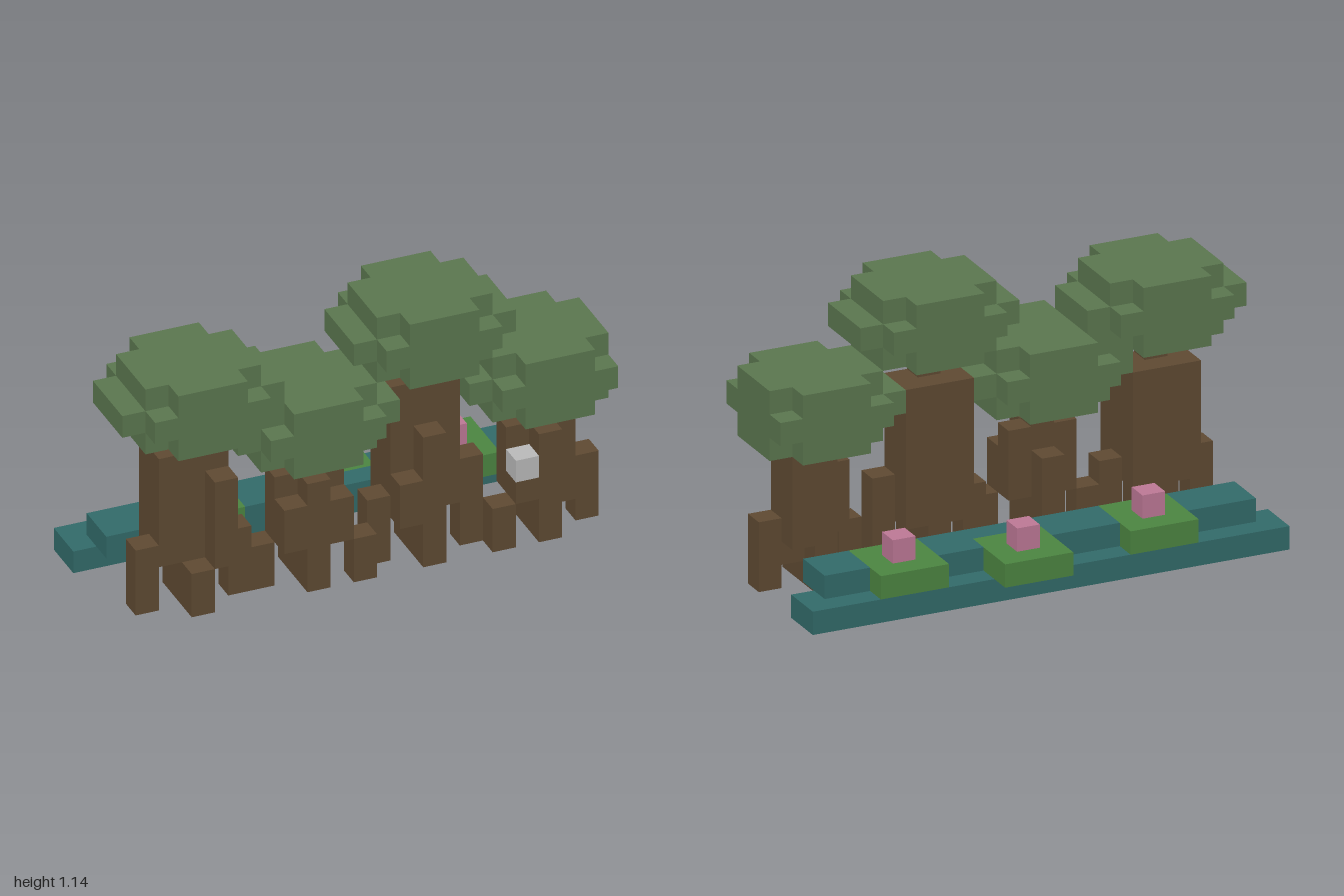
import * as THREE from 'three';

const U = 2 / 21; // one block

const mat = (name, color) => {
  const m = new THREE.MeshStandardMaterial({ color });
  m.name = name;
  return m;
};

// Box between two block corners, counted in whole blocks
function block(parent, name, material, x0, x1, y0, y1, z0, z1) {
  const geo = new THREE.BoxGeometry((x1 - x0) * U, (y1 - y0) * U, (z1 - z0) * U);
  const mesh = new THREE.Mesh(geo, material);
  mesh.name = name;
  mesh.position.set((x0 + x1) / 2 * U - 1, (y0 + y1) / 2 * U, (z0 + z1) / 2 * U - 4.5 * U);
  parent.add(mesh);
}

export function createModel() {
  const model = new THREE.Group();
  const leaf = mat('leaf green', 0x5c7850);
  const bark = mat('bark brown', 0x604b33);
  const water = mat('water teal', 0x336c6b);
  const grass = mat('pad green', 0x4d8742);
  const pink = mat('blossom pink', 0xc07a98);
  const stone = mat('pale grey', 0xbcbcbc);

  // Tree on centre column c, with its canopy starting at height y
  function addTree(c, y, { front, back, left, right, leftZ = 6, rightZ = 6 }) {
    const tree = new THREE.Group();
    tree.name = 'tree';
    const canopy = (...r) => block(tree, 'canopy', leaf, ...r);
    const root = (x, y0, y1, z) => block(tree, 'root', bark, x, x + 1, y0, y1, z, z + 1);

    // Rounded canopy with a wider middle layer
    canopy(c - 2, c + 3, y, y + 3, 5, 8);
    canopy(c - 1, c + 2, y, y + 3, 4, 9);
    canopy(c - 2, c + 3, y + 1, y + 2, 4, 9);
    canopy(c - 3, Math.min(c + 4, 21), y + 1, y + 2, 5, 8);

    // Centre column and the four roots that reach the ground
    block(tree, 'trunk', bark, c, c + 1, 0, y, 6, 7);
    root(c, 0, front, 7);
    root(c, 0, back, 5);
    root(c + 2, 0, left, leftZ);
    root(c - 2, 0, right, rightZ);
    model.add(tree);
    return { root, bulk: (...r) => block(tree, 'trunk', bark, ...r) };
  }

  // Tall tree on the right
  const tallRight = addTree(3, 8, { front: 2, back: 2, left: 3, right: 3 });
  tallRight.bulk(2, 5, 2, 7, 5, 7);
  tallRight.root(4, 2, 6, 7);

  // Short tree right of centre
  const shortRight = addTree(8, 6, { front: 5, back: 4, left: 2, right: 2, leftZ: 7 });
  shortRight.bulk(7, 10, 2, 5, 6, 7);
  shortRight.bulk(7, 10, 2, 4, 7, 8);

  // Tallest tree left of centre
  const tallest = addTree(13, 9, { front: 6, back: 2, left: 4, right: 3 });
  tallest.bulk(12, 15, 2, 8, 5, 7);
  tallest.root(12, 2, 4, 7);

  // Short tree on the left
  const shortLeft = addTree(18, 6, { front: 5, back: 6, left: 3, right: 2, rightZ: 7 });
  shortLeft.bulk(18, 20, 2, 6, 5, 7);
  shortLeft.root(19, 1, 2, 6);
  shortLeft.root(17, 2, 5, 6);
  shortLeft.root(17, 2, 3, 7);

  // Small pale block resting on a root
  block(model, 'paleBlock', stone, 17, 18, 3, 4, 7, 8);

  // Stream: lower strip and stepped upper strip, broken by the pads
  block(model, 'streamBed', water, 0, 21, 0, 1, 1, 3);
  [[1, 4, 2], [7, 10, 2], [10, 13, 3], [13, 15, 2], [18, 20, 2]].forEach(([a, b, z]) =>
    block(model, 'streamTop', water, a, b, 1, 2, z, 4));

  // Green pads, each with a pink blossom
  [[4, 1], [10, 0], [15, 1]].forEach(([x, z]) => {
    block(model, 'pad', grass, x, x + 3, 1, 2, z, z + 3);
    block(model, 'blossom', pink, x + 1, x + 2, 2, 3, z + 1, z + 2);
  });

  return model;
}
